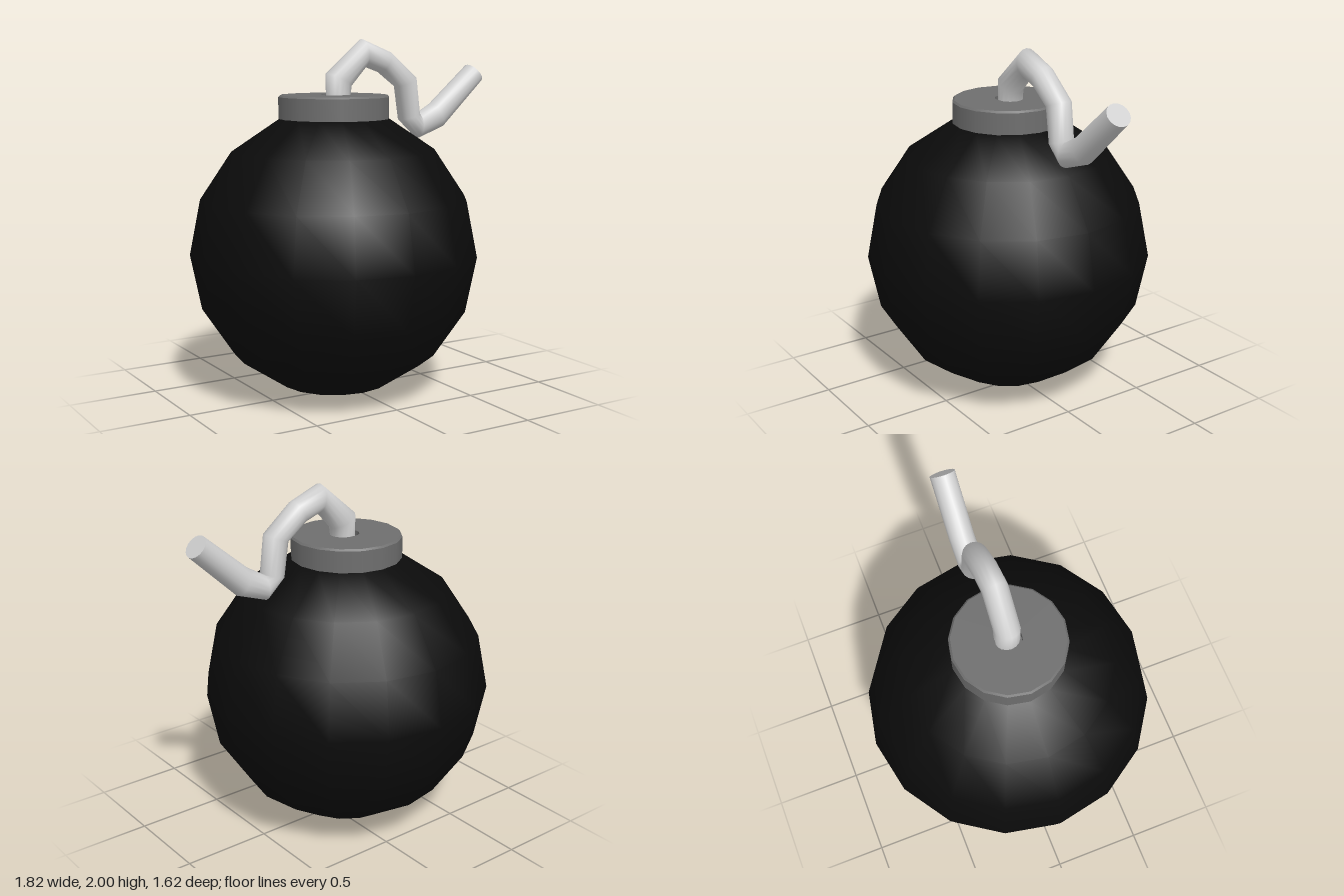
import * as THREE from 'three';

const AXIS_X = -0.1; // body and collar axis
const SIDES = 16;

// Tube through mitred rings; each ring is [leftX, leftY, rightX, rightY] seen along the path.
function ringTube(rings, halfDepth) {
  const pos = [], index = [];
  const addRing = ([ax, ay, bx, by]) => {
    const start = pos.length / 3;
    for (let j = 0; j < SIDES; j++) {
      const a = (j / SIDES) * Math.PI * 2, c = Math.cos(a) / 2;
      pos.push((ax + bx) / 2 + (ax - bx) * c, (ay + by) / 2 + (ay - by) * c, halfDepth * Math.sin(a));
    }
    return start;
  };
  const starts = rings.map(addRing);
  for (let i = 0; i < rings.length - 1; i++) {
    for (let j = 0; j < SIDES; j++) {
      const k = (j + 1) % SIDES, p = starts[i], q = starts[i + 1];
      index.push(p + j, p + k, q + k, p + j, q + k, q + j);
    }
  }
  // Flat end caps with their own vertices
  for (const [ring, flip] of [[rings[0], true], [rings[rings.length - 1], false]]) {
    const s = addRing(ring);
    for (let j = 1; j < SIDES - 1; j++) {
      if (flip) index.push(s, s + j + 1, s + j);
      else index.push(s, s + j, s + j + 1);
    }
  }
  const g = new THREE.BufferGeometry();
  g.setAttribute('position', new THREE.Float32BufferAttribute(pos, 3));
  g.setIndex(index);
  g.computeVertexNormals();
  return g;
}

export function createModel() {
  const group = new THREE.Group();
  const material = (name, color) => {
    const m = new THREE.MeshStandardMaterial({ color });
    m.name = name;
    return m;
  };
  const add = (name, geometry, mat, x = 0, y = 0) => {
    const mesh = new THREE.Mesh(geometry, mat);
    mesh.name = name;
    mesh.position.set(x, y, 0);
    group.add(mesh);
  };

  // Round body
  add('body', new THREE.SphereGeometry(0.81, SIDES, 8), material('black', 0x0b0b0b), AXIS_X, 0.812);

  // Collar with a fine bevel and a shallow hole; doubled points keep edges sharp
  const profile = [
    [0, 1.563], [0.31, 1.563], [0.31, 1.563], [0.31, 1.683], [0.31, 1.683],
    [0.3, 1.693], [0.3, 1.693], [0.072, 1.693], [0.072, 1.693],
    [0.072, 1.65], [0.072, 1.65], [0, 1.65],
  ].map(([r, y]) => new THREE.Vector2(r, y));
  add('collar', new THREE.LatheGeometry(profile, SIDES), material('grey', 0x6e6e6e), AXIS_X);

  // Bent fuse
  const fuse = ringTube([
    [-0.14, 1.65, -0.01, 1.65],
    [-0.145, 1.81, 0.005, 1.74],
    [0.08, 2.0, 0.1, 1.845],
    [0.26, 1.93, 0.2, 1.81],
    [0.44, 1.78, 0.31, 1.73],
    [0.465, 1.575, 0.34, 1.54],
    [0.465, 1.575, 0.46, 1.43],
    [0.56, 1.63, 0.63, 1.49],
    [0.82, 1.85, 0.905, 1.75],
  ], 0.07);
  add('fuse', fuse, material('lightGrey', 0xd0d0d0));

  return group;
}
